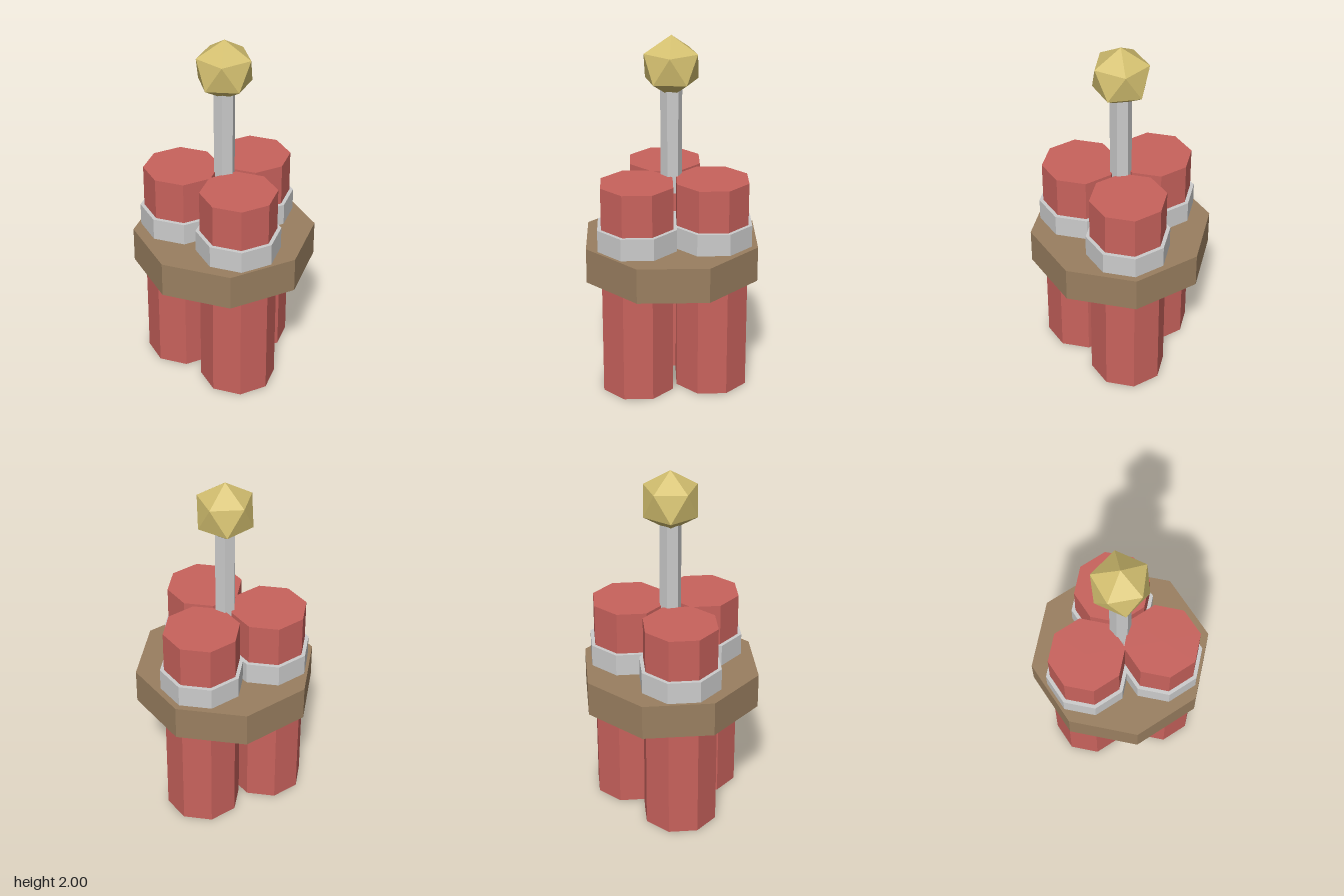
import * as THREE from 'three';

export function createModel() {
  const model = new THREE.Group();
  const material = (color) => {
    const m = new THREE.MeshStandardMaterial({ color: 0xcccccc, flatShading: true });
    if (color !== undefined) m.color.set(color);
    return m;
  };
  const red = material(0xc8625c);
  const brown = material(0x9a7f60);
  const gold = material(0xd4c070);
  const grey = material();

  // Upright prism between two heights
  function prism(name, radius, bottom, top, sides, mat, x = 0, z = 0) {
    const height = top - bottom;
    const mesh = new THREE.Mesh(new THREE.CylinderGeometry(radius, radius, height, sides), mat);
    mesh.name = name;
    mesh.position.set(x, bottom + height / 2, z);
    model.add(mesh);
  }

  // Three octagonal sticks, each with a slim band
  for (let i = 0; i < 3; i++) {
    const angle = (i * Math.PI * 2) / 3;
    const x = 0.24 * Math.cos(angle);
    const z = 0.24 * Math.sin(angle);
    prism('stick', 0.212, 0, 1.22, 8, red, x, z);
    prism('band', 0.234, 0.78, 0.98, 8, grey, x, z);
  }

  // Collar binding the bundle
  prism('collar', 0.51, 0.655, 0.855, 8, brown);

  // Hexagonal rod rising from the centre
  prism('rod', 0.06, 1.12, 1.75, 6, grey);

  // Faceted knob, turned so that one corner points straight up
  const knobGeometry = new THREE.IcosahedronGeometry(0.17, 0);
  knobGeometry.rotateZ(-Math.atan(2 / (1 + Math.sqrt(5))));
  const knob = new THREE.Mesh(knobGeometry, gold);
  knob.name = 'knob';
  knob.position.y = 1.83;
  model.add(knob);

  return model;
}
